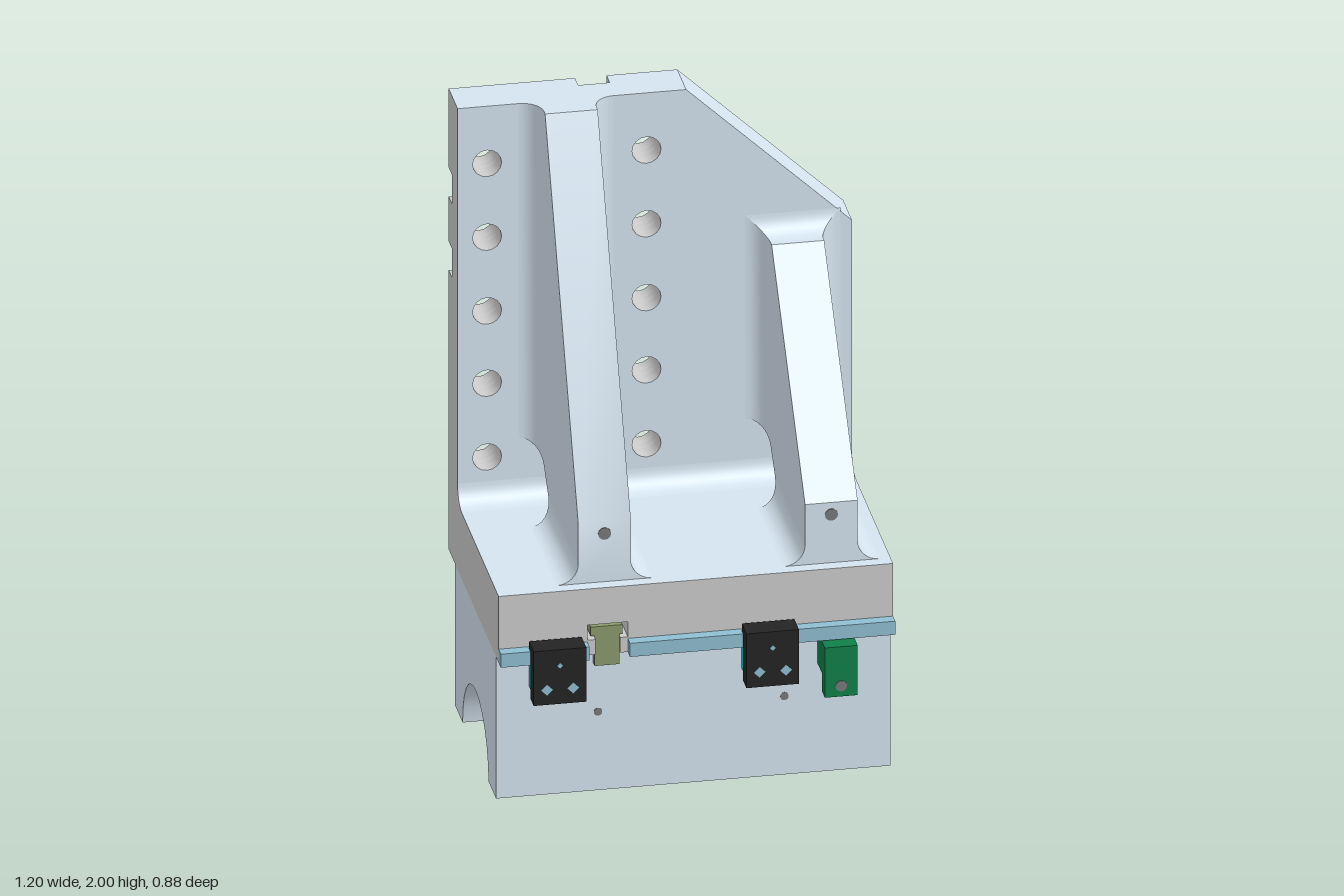
import * as THREE from 'three';
import { toCreasedNormals } from 'three/addons/utils/BufferGeometryUtils.js';

const mat = (color) => new THREE.MeshStandardMaterial({ color });
const R = 0.065; // radius of all inner fillets
const WALL = -0.30, SHELF = 0.69; // front of the wall, top of the shelf

const poly = (pts) => new THREE.Shape(pts.map(([a, b]) => new THREE.Vector2(a, b)));
const rect = (x0, x1, y0, y1) => poly([[x0, y0], [x1, y0], [x1, y1], [x0, y1]]);

// Concave corner fill, opening towards (sx, sy)
function corner(sx, sy) {
  const pts = [[0, 0]];
  for (let i = 0; i <= 8; i++) {
    const a = -Math.PI / 2 - (i / 8) * (Math.PI / 2);
    pts.push([sx * R * (1 + Math.cos(a)), sy * R * (1 + Math.sin(a))]);
  }
  return poly(pts);
}

const extrude = (shape, depth, curveSegments = 8) =>
  new THREE.ExtrudeGeometry(shape, { depth, bevelEnabled: false, curveSegments });
const alongZ = (shape, z0, z1) => extrude(shape, z1 - z0).translate(0, 0, z0);
// Shape drawn in (z, y)
const alongX = (shape, x0, x1, seg) => extrude(shape, x1 - x0, seg).rotateY(-Math.PI / 2).translate(x1, 0, 0);
// Shape drawn in (x, -z)
const alongY = (shape, y0, y1) => extrude(shape, y1 - y0).rotateX(-Math.PI / 2).translate(0, y0, 0);

// Moves every vertex by a rule, used for mitred ends
function bend(geo, rule) {
  const p = geo.attributes.position, v = new THREE.Vector3();
  for (let i = 0; i < p.count; i++) {
    rule(v.fromBufferAttribute(p, i));
    p.setXYZ(i, v.x, v.y, v.z);
  }
  return geo;
}

export function createModel() {
  const root = new THREE.Group();
  const blue = mat(0xd5e4f0), grey = mat(0xcccccc), black = mat(0x242424), rail = mat(0x8fbfd2);
  const green = mat(0x0f8048), olive = mat(0x8b9a6c), cyan = mat(0x12c4cc), dark = mat(0x77797c);

  const add = (name, geo, material, parent = root) => {
    const mesh = new THREE.Mesh(toCreasedNormals(geo, 0.65), material);
    mesh.name = name;
    parent.add(mesh);
    return mesh;
  };
  const box = (name, x0, x1, y0, y1, z0, z1, material, parent) =>
    add(name, new THREE.BoxGeometry(x1 - x0, y1 - y0, z1 - z0)
      .translate((x0 + x1) / 2, (y0 + y1) / 2, (z0 + z1) / 2), material, parent);
  const disc = (name, x, y, z, r, material, parent, sides = 12) =>
    add(name, new THREE.CylinderGeometry(r, r, 0.004, sides).rotateX(Math.PI / 2).translate(x, y, z), material, parent);

  // Casting with blue upper and inner faces, grey elsewhere
  function casting(name, geo) {
    const src = toCreasedNormals(geo, 0.65), P = src.attributes.position, N = src.attributes.normal;
    const sets = [{ p: [], n: [] }, { p: [], n: [] }];
    for (let i = 0; i < P.count; i += 3) {
      const mid = (a, get) => (a[get](i) + a[get](i + 1) + a[get](i + 2)) / 3;
      const x = mid(P, 'getX'), y = mid(P, 'getY'), z = mid(P, 'getZ');
      const edge = y > Math.min(1.99, 1.99 - 0.95 * (x - 0.095)) || (y < 0.8 && z > WALL - 0.14 && y >= SHELF - 0.001 && name === 'shelf');
      const isBlue = (mid(N, 'getZ') > 0.5 && name === 'wall') || (mid(N, 'getY') > 0.3 && edge);
      const s = sets[isBlue ? 0 : 1];
      for (let k = i; k < i + 3; k++) {
        s.p.push(P.getX(k), P.getY(k), P.getZ(k));
        s.n.push(N.getX(k), N.getY(k), N.getZ(k));
      }
    }
    sets.forEach((s, i) => {
      if (!s.p.length) return;
      const g = new THREE.BufferGeometry();
      g.setAttribute('position', new THREE.Float32BufferAttribute(s.p, 3));
      g.setAttribute('normal', new THREE.Float32BufferAttribute(s.n, 3));
      const mesh = new THREE.Mesh(g, i ? grey : blue);
      mesh.name = name + (i ? 'Sides' : 'Faces');
      root.add(mesh);
    });
  }

  // Upright wall: front layer, thin layer with blind pin holes, grooved back layer
  const rows = [1.81, 1.565, 1.32, 1.08, 0.835];
  const drill = (shape, x, y, r = 0.044) => {
    const h = new THREE.Path();
    h.absarc(x, y, r, 0, Math.PI * 2, true);
    shape.holes.push(h);
  };
  const outline = () => poly([[-0.6, SHELF], [0.6, SHELF], [0.6, 1.52], [0.095, 2], [-0.6, 2]]);
  const front = outline(), pins = outline();
  for (const y of rows) for (const x of [-0.51, -0.025]) { drill(front, x, y); drill(pins, x, y); }
  for (const y of [1.79, 1.72, 1.48, 1.06]) drill(pins, -0.168, y, 0.012);
  casting('wall', alongZ(front, -0.36, WALL));
  casting('wallPinLayer', alongZ(pins, -0.39, -0.36));

  const back = new THREE.Shape();
  back.moveTo(-0.6, SHELF).lineTo(0.6, SHELF).lineTo(0.6, 1.52).lineTo(0.095, 2).lineTo(-0.12, 2);
  for (const y of [1.69, 1.445]) {
    back.lineTo(-0.12, y + 0.048).lineTo(0.112, y + 0.048);
    back.absarc(0.112, y, 0.048, Math.PI / 2, -Math.PI / 2, true);
    back.lineTo(-0.12, y - 0.048);
  }
  back.lineTo(-0.12, 0.758);
  back.absarc(-0.168, 0.758, 0.048, 0, -Math.PI, true);
  back.lineTo(-0.216, 1.397).lineTo(-0.6, 1.397);
  const blockMid = rect(-0.6, -0.216, 1.493, 1.642), blockTop = rect(-0.6, -0.216, 1.738, 2);
  rows.forEach((y, i) => {
    drill(back, -0.025, y);
    drill([blockTop, blockMid, back, back, back][i], -0.51, y);
  });
  for (const s of [back, blockMid, blockTop]) casting('wallGroovedBack', alongZ(s, -0.44, -0.39));

  // Shelf with a T slot running through it
  casting('shelf', alongZ(poly([[-0.6, 0.47], [-0.305, 0.47], [-0.305, 0.52], [-0.33, 0.52], [-0.33, 0.57],
    [-0.207, 0.57], [-0.207, 0.52], [-0.23, 0.52], [-0.23, 0.47], [0.6, 0.47], [0.6, SHELF], [-0.6, SHELF]]), -0.44, 0.35));
  add('shelfFillet', alongX(corner(1, 1), -0.6, 0.6).translate(0, SHELF, WALL), blue);

  // Ribs with an open inner corner and fillets to wall and shelf
  function rib(name, x0, x1, zTop, top) {
    const g = new THREE.Group();
    g.name = name;
    root.add(g);
    add('web', alongX(poly([[0.31, SHELF], [0.31, 0.89], [zTop, top], [WALL, top], [WALL, 0.89], [-0.1, SHELF]]), x0, x1), blue, g);
    for (const [x, s] of [[x0, -1], [x1, 1]]) {
      add('footFillet', bend(alongZ(corner(s, 1), -0.1, 0.31).translate(x, SHELF, 0),
        (v) => { if (v.z < 0) v.z = -0.1 - (v.y - SHELF); }), blue, g);
      add('wallFillet', bend(alongY(corner(s, -1), 0.89, top).translate(x, 0, WALL), (v) => {
        if (v.y < 1) v.y = 0.89 - (v.z - WALL);
        else if (top < 2) v.y = top + Math.abs(v.x - x);
      }), blue, g);
    }
    if (top < 2) {
      add('topFillet', bend(alongX(corner(1, 1), x0, x1).translate(0, top, WALL),
        (v) => { v.x += (v.x > (x0 + x1) / 2 ? 1 : -1) * (v.y - top); }), blue, g);
    }
    disc('footHole', (x0 + x1) / 2, 0.85, 0.31, 0.02, dark, g);
  }
  rib('tallRib', -0.35, -0.19, -0.215, 2);
  rib('shortRib', 0.34, 0.50, -0.22, 1.5);

  // Base block with an arched channel underneath
  const foot = new THREE.Shape();
  foot.moveTo(0.31, 0).lineTo(0.31, 0.47).lineTo(-0.34, 0.47).lineTo(-0.34, 0).lineTo(-0.22, 0);
  foot.absarc(-0.015, 0, 0.205, Math.PI, 0, true);
  add('baseBlock', alongX(foot, -0.6, 0.6, 6), blue);
  for (const x of [-0.29, 0.277]) disc('baseHole', x, 0.26, 0.309, 0.013, dark);

  // Front rail in two lengths, and the key in the slot
  box('railShort', -0.6, -0.33, 0.47, 0.515, 0.345, 0.385, rail);
  box('railLong', -0.207, 0.6, 0.47, 0.515, 0.345, 0.385, rail);
  box('slotKey', -0.3, -0.235, 0.471, 0.555, -0.37, 0.32, olive);
  box('slotKeyHead', -0.317, -0.22, 0.525, 0.555, -0.33, 0.335, olive);
  box('slotKeyTongue', -0.305, -0.23, 0.425, 0.555, 0.3, 0.335, olive);

  // Black clamps on cyan spacers
  for (const x of [-0.43, 0.217]) {
    const g = new THREE.Group();
    g.name = 'clamp';
    root.add(g);
    box('clampBody', x - 0.08, x + 0.08, 0.36, 0.54, 0.385, 0.438, black, g);
    box('clampLip', x - 0.08, x + 0.08, 0.515, 0.54, 0.365, 0.385, black, g);
    box('clampSpacer', x - 0.07, x + 0.07, 0.365, 0.469, 0.31, 0.385, cyan, g);
    for (const s of [-1, 1]) disc('clampScrew', x + s * 0.04, 0.41, 0.438, 0.018, rail, g, 4);
    disc('clampPin', x, 0.487, 0.438, 0.009, rail, g, 4);
  }

  // Green stop bracket
  const stop = poly([[0.31, 0.465], [0.425, 0.465], [0.425, 0.3], [0.38, 0.3], [0.38, 0.36], [0.31, 0.36]]);
  add('stopBracket', alongX(stop, 0.378, 0.478), green);
  disc('stopScrew', 0.428, 0.335, 0.425, 0.018, dark);
  return root;
}
